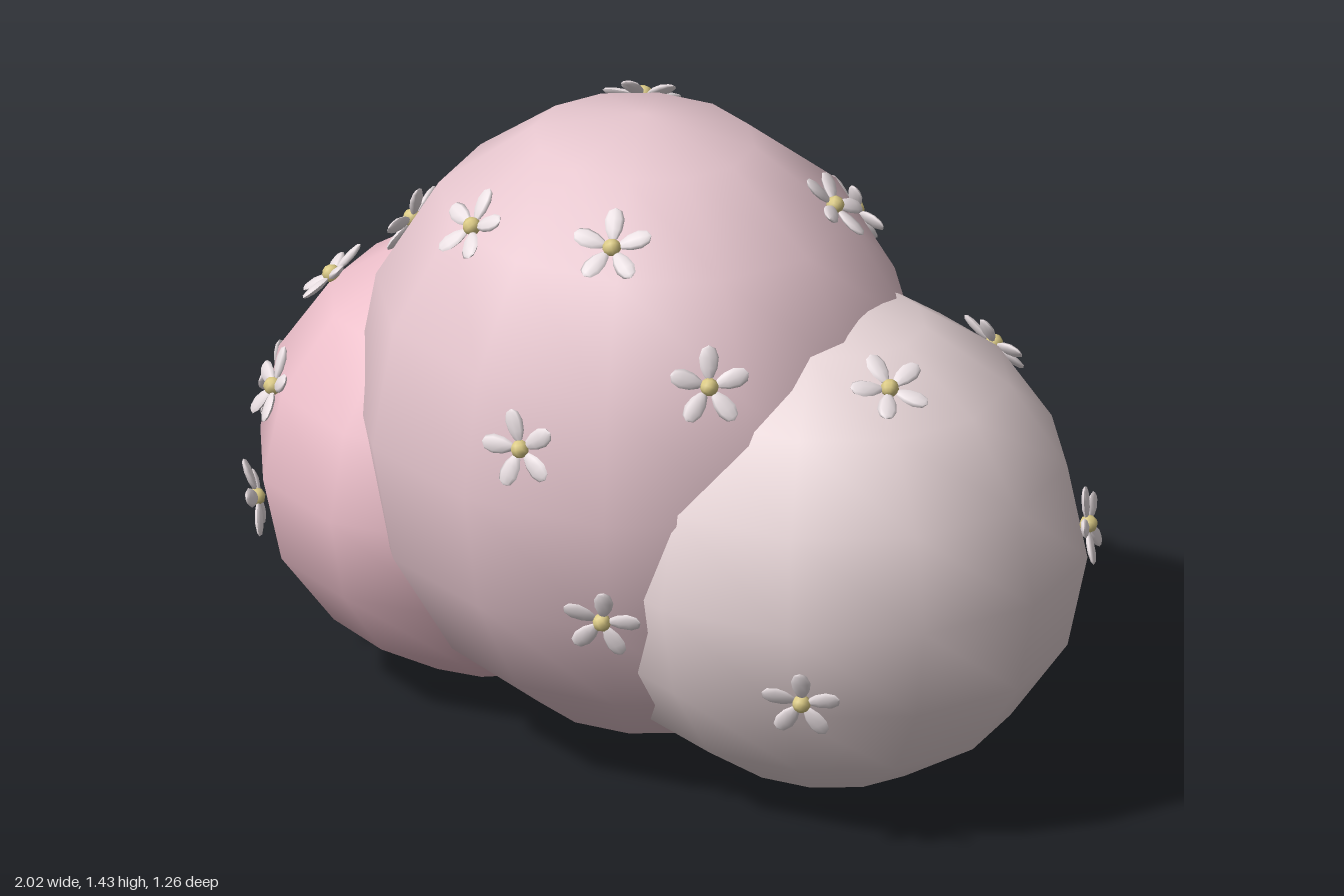
import * as THREE from 'three';

const mat = (color) => new THREE.MeshStandardMaterial({ color });
const petalMat = mat(0xe9dfe2);
const stamenMat = mat(0xdccb86);

// Petal: a flattened, coarse ellipsoid lying along +y, broader towards its tip
const petalGeo = new THREE.SphereGeometry(1, 8, 5).scale(0.021, 0.038, 0.009);
const pos = petalGeo.attributes.position;
for (let i = 0; i < pos.count; i++) pos.setX(i, pos.getX(i) * (1 + pos.getY(i) * 6));
petalGeo.computeVertexNormals();
petalGeo.translate(0, 0.052, 0);
const stamenGeo = new THREE.SphereGeometry(0.02, 8, 6);

// Five-petalled blossom facing +z
function createFlower() {
  const flower = new THREE.Group();
  flower.name = 'flower';
  for (let i = 0; i < 5; i++) {
    const petal = new THREE.Mesh(petalGeo, petalMat);
    petal.name = 'petal';
    petal.rotation.set(0.12, 0, (i * Math.PI * 2) / 5, 'ZXY');
    petal.position.z = 0.006;
    flower.add(petal);
  }
  const stamen = new THREE.Mesh(stamenGeo, stamenMat);
  stamen.name = 'flowerCentre';
  stamen.position.z = 0.01;
  flower.add(stamen);
  return flower;
}

// Each blob: ellipsoid centre, radii, colour, and rough flower spots
const blobs = [
  {
    name: 'middleBlob', centre: [-0.02, 0.735, 0.035], radii: [0.65, 0.7, 0.59], color: 0xe6c6ce,
    flowers: [
      [0.12, 0.885, 0.6], [-0.175, 1.25, 0.41], [0.17, 1.285, 0.36], [0.44, 1.04, 0.36],
      [0.28, 0.505, 0.52], [-0.59, 1.04, 0.11], [-0.24, 1.32, -0.22], [-0.3, 1.1, -0.4],
      [-0.52, 1.08, -0.205], [0.15, 1.09, -0.445], [-0.2, 0.78, -0.53], [0.36, 1.27, -0.145],
    ],
  },
  {
    name: 'rightBlob', centre: [-0.49, 0.505, -0.055], radii: [0.51, 0.5, 0.57], color: 0xecbfca,
    flowers: [
      [-0.805, 0.87, 0.145], [-0.765, 0.7, 0.385], [-0.87, 0.385, 0.3],
      [-0.96, 0.56, 0.1], [-0.93, 0.68, -0.26], [-0.83, 0.21, -0.33],
    ],
  },
  {
    name: 'leftBlob', centre: [0.41, 0.55, -0.055], radii: [0.59, 0.545, 0.535], color: 0xe8d6d8,
    flowers: [
      [0.525, 0.88, -0.47], [0.7, 1.01, 0.07], [0.915, 0.63, -0.31],
      [0.72, 0.39, 0.38], [0.51, 0.64, -0.575], [0.29, 0.39, -0.555],
    ],
  },
];

export function createModel() {
  const model = new THREE.Group();
  model.name = 'flowerBlobs';
  const blobGeo = new THREE.SphereGeometry(1, 12, 8);

  for (const { name, centre, radii, color, flowers } of blobs) {
    const c = new THREE.Vector3(...centre);
    const r = new THREE.Vector3(...radii);
    const blob = new THREE.Mesh(blobGeo, mat(color));
    blob.name = name;
    blob.position.copy(c);
    blob.scale.copy(r);
    model.add(blob);

    // Snap each flower to the ellipsoid and face it along the surface normal
    flowers.forEach((spot, i) => {
      const unit = new THREE.Vector3(...spot).sub(c).divide(r).normalize();
      const flower = createFlower();
      flower.position.copy(unit).multiply(r).add(c);
      const normal = unit.clone().divide(r).normalize();
      flower.lookAt(flower.position.clone().add(normal));
      flower.rotateZ(0.3 + i * 2.4);
      model.add(flower);
    });
  }
  return model;
}
